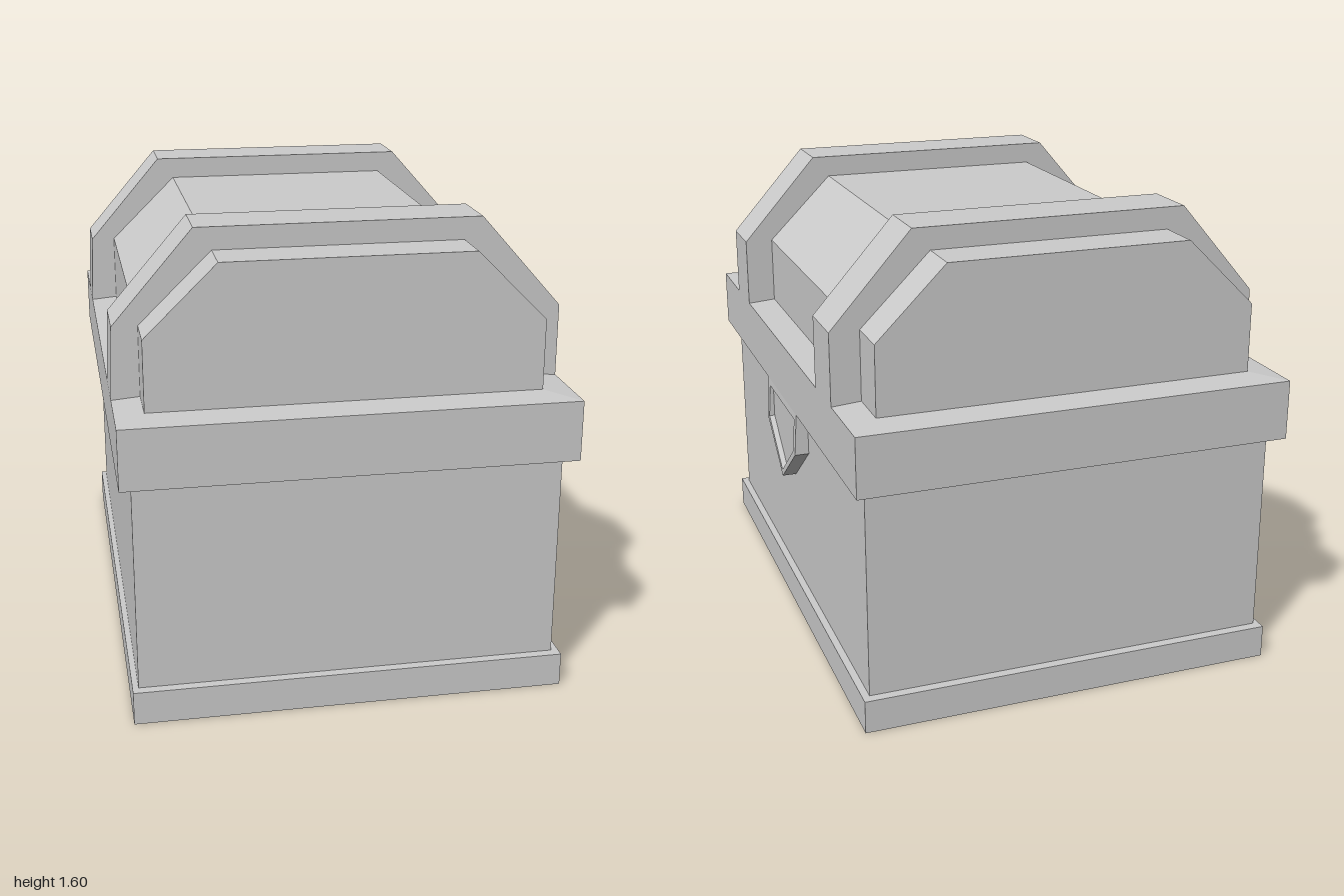
import * as THREE from 'three';

const material = new THREE.MeshStandardMaterial({ color: 0xcccccc, flatShading: true });

function part(name, geometry) {
  const mesh = new THREE.Mesh(geometry, material);
  mesh.name = name;
  return mesh;
}

// Block between two x limits, two heights, and +-z
function block(x0, x1, y0, y1, z0, z1) {
  return new THREE.BoxGeometry(x1 - x0, y1 - y0, z1 - z0)
    .translate((x0 + x1) / 2, (y0 + y1) / 2, (z0 + z1) / 2);
}

// Stack of rectangles [x0, x1, halfZ, y] from bottom to top, capped at both ends
function rectLoft(rings) {
  const pos = [];
  const corners = rings.map(([x0, x1, z, y]) => [[x0, y, z], [x1, y, z], [x1, y, -z], [x0, y, -z]]);
  const quad = (a, b, c, d) => pos.push(...a, ...b, ...c, ...a, ...c, ...d);
  for (let i = 0; i < corners.length - 1; i++) {
    const lo = corners[i], hi = corners[i + 1];
    for (let k = 0; k < 4; k++) {
      const n = (k + 1) % 4;
      quad(lo[k], lo[n], hi[n], hi[k]);
    }
  }
  const b = corners[0], t = corners[corners.length - 1];
  quad(b[3], b[2], b[1], b[0]);
  quad(t[0], t[1], t[2], t[3]);
  const g = new THREE.BufferGeometry();
  g.setAttribute('position', new THREE.Float32BufferAttribute(pos, 3));
  g.computeVertexNormals();
  return g;
}

const outline = (points) => points.map(([x, y]) => new THREE.Vector2(x, y));

// Profile in the xy plane extruded from z0 to z1
function prism(points, z0, z1) {
  return new THREE.ExtrudeGeometry(new THREE.Shape(outline(points)), { depth: z1 - z0, bevelEnabled: false })
    .translate(0, 0, z0);
}

// Shield-shaped clasp plate with a sunken centre, on the +x side
function makeClasp() {
  const clasp = new THREE.Group();
  clasp.name = 'clasp';
  const inner = [[-0.19, 0.81], [-0.19, 0.69], [0, 0.545], [0.19, 0.69], [0.19, 0.81]];
  const shape = new THREE.Shape(outline([[-0.22, 0.835], [-0.22, 0.685], [0, 0.52], [0.22, 0.685], [0.22, 0.835]]));
  shape.holes.push(new THREE.Path(outline(inner)));
  const frame = new THREE.ExtrudeGeometry(shape, { depth: 0.06, bevelEnabled: false })
    .rotateY(Math.PI / 2).translate(0.69, 0, 0);
  // The face leans back to meet the rim
  const p = frame.attributes.position;
  for (let i = 0; i < p.count; i++) {
    if (p.getX(i) > 0.72) p.setX(i, 0.75 - 0.01 * Math.max(0, (p.getY(i) - 0.685) / 0.15));
  }
  frame.computeVertexNormals();
  const panel = new THREE.ExtrudeGeometry(new THREE.Shape(outline(inner)), { depth: 0.04, bevelEnabled: false })
    .rotateY(Math.PI / 2).translate(0.69, 0, 0);
  clasp.add(part('claspFrame', frame), part('claspPanel', panel));
  return clasp;
}

export function createModel() {
  const chest = new THREE.Group();
  chest.name = 'chest';

  // Lower box
  chest.add(part('basePlinth', block(-0.735, 0.725, 0, 0.115, -0.975, 0.975)));
  chest.add(part('body', block(-0.715, 0.7, 0.11, 0.835, -0.942, 0.942)));

  // Rim with slightly sloped top and underside
  chest.add(part('rim', rectLoft([
    [-0.67, 0.655, 0.9, 0.825],
    [-0.755, 0.74, 1, 0.835],
    [-0.755, 0.74, 1, 1.04],
    [-0.66, 0.64, 0.885, 1.048],
  ])));

  // Faceted lid
  chest.add(part('lid', prism([
    [-0.66, 1.04], [0.64, 1.04], [0.64, 1.285], [0.405, 1.52], [-0.42, 1.52], [-0.66, 1.285],
  ], -0.885, 0.885)));

  // Straps across the lid
  for (const [name, z] of [['frontStrap', 0.622], ['backStrap', -0.622]]) {
    chest.add(part(name, prism([
      [-0.755, 1.035], [0.74, 1.035], [0.74, 1.285], [0.465, 1.595], [-0.478, 1.595], [-0.745, 1.285],
    ], z - 0.1, z + 0.1)));
  }

  chest.add(makeClasp());
  return chest;
}
